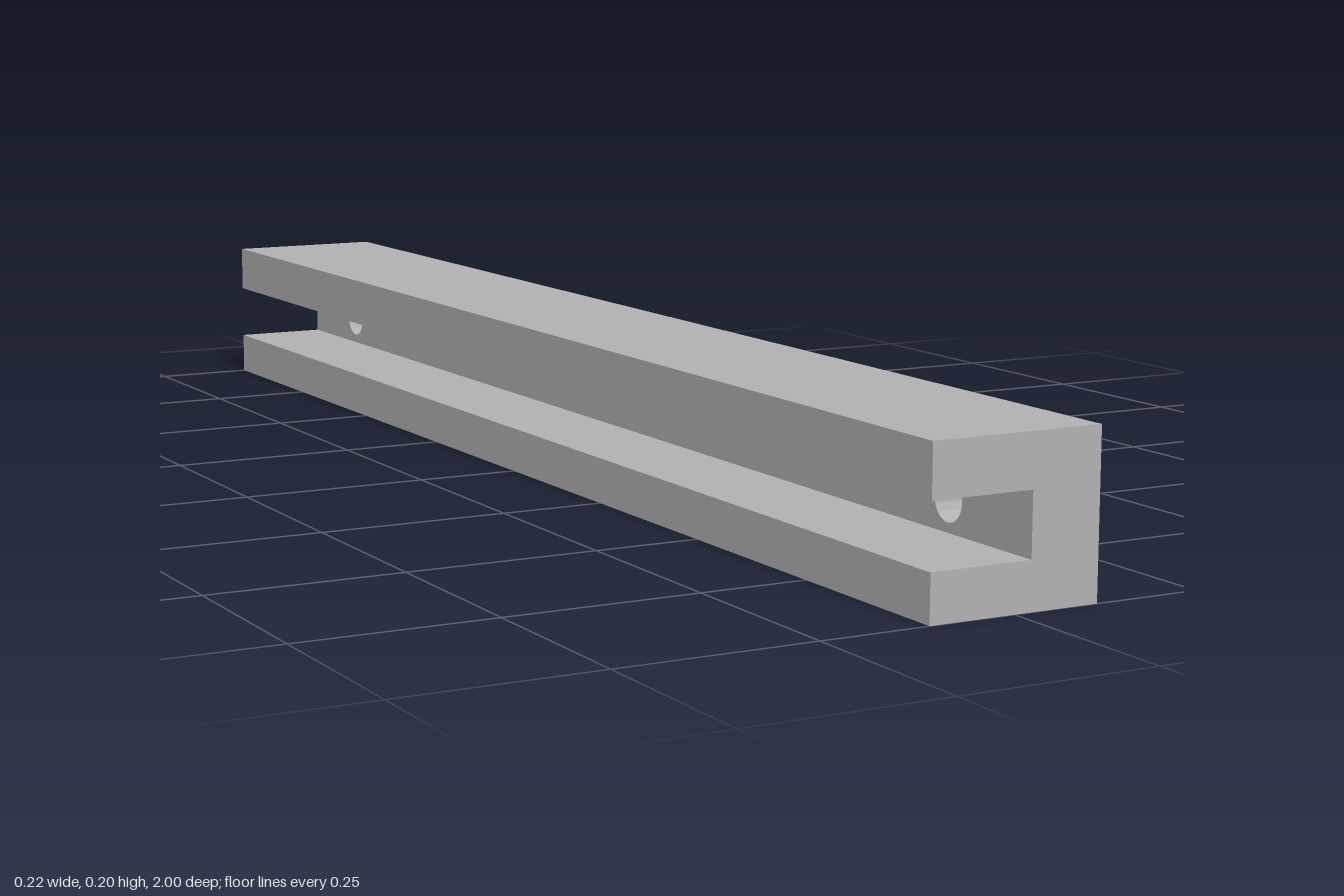
import * as THREE from 'three';
import { toCreasedNormals } from 'three/addons/utils/BufferGeometryUtils.js';

const LENGTH = 2, HEIGHT = 0.202, HALF_WIDTH = 0.1115;
const SLOT_BOTTOM = 0.059, SLOT_TOP = 0.137, SLOT_FLOOR = 0.021;
const HOLE_Z = 0.84, HOLE_Y = 0.098, HOLE_RADIUS = 0.027;

export function createModel() {
  const group = new THREE.Group();
  group.name = 'slottedRail';
  const grey = new THREE.MeshStandardMaterial({ color: 0xb0b0b0 });
  grey.name = 'grey';

  // Solid side of the channel, drilled through near both ends
  const outline = new THREE.Shape([
    new THREE.Vector2(-LENGTH / 2, 0), new THREE.Vector2(LENGTH / 2, 0),
    new THREE.Vector2(LENGTH / 2, HEIGHT), new THREE.Vector2(-LENGTH / 2, HEIGHT),
  ]);
  for (const z of [-HOLE_Z, HOLE_Z]) {
    outline.holes.push(new THREE.Path().absarc(z, HOLE_Y, HOLE_RADIUS, 0, Math.PI * 2, true));
  }
  const webGeometry = new THREE.ExtrudeGeometry(outline, {
    depth: HALF_WIDTH - SLOT_FLOOR, bevelEnabled: false, curveSegments: 32,
  });
  webGeometry.rotateY(Math.PI / 2).translate(SLOT_FLOOR, 0, 0);
  const web = new THREE.Mesh(toCreasedNormals(webGeometry, 0.6), grey);
  web.name = 'drilledWeb';
  group.add(web);

  // Flanges above and below the open slot
  const flangeWidth = SLOT_FLOOR + HALF_WIDTH;
  const addFlange = (name, bottom, top) => {
    const flange = new THREE.Mesh(new THREE.BoxGeometry(flangeWidth, top - bottom, LENGTH), grey);
    flange.position.set((SLOT_FLOOR - HALF_WIDTH) / 2, (top + bottom) / 2, 0);
    flange.name = name;
    group.add(flange);
  };
  addFlange('lowerFlange', 0, SLOT_BOTTOM);
  addFlange('upperFlange', SLOT_TOP, HEIGHT);

  return group;
}
